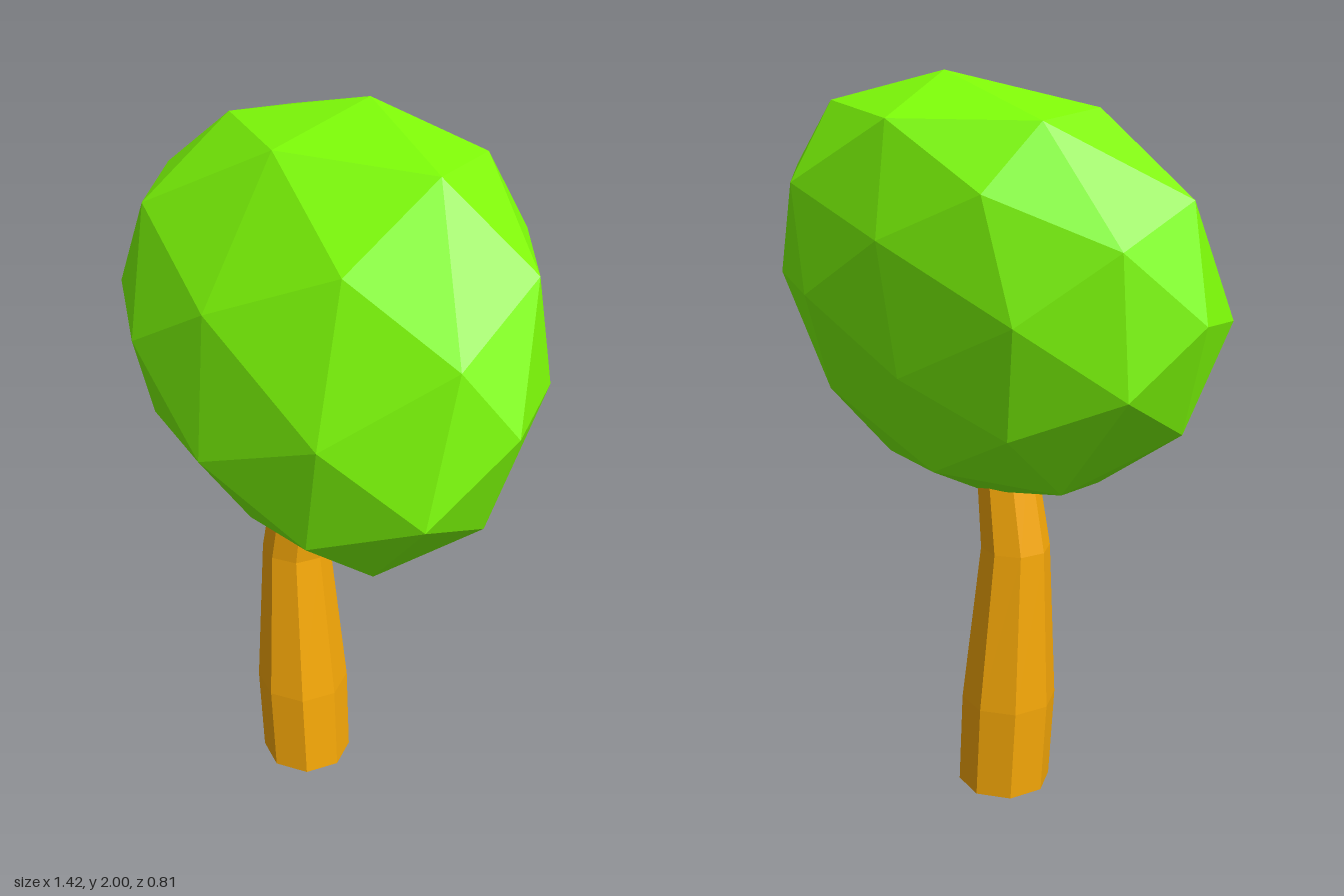
import * as THREE from 'three';

// Bent eight-sided trunk: the rows of a cylinder follow rings of [height, x centre, radius]
function createTrunk() {
  const rings = [[0, -0.058, 0.131], [0.27, -0.073, 0.133], [0.73, -0.094, 0.096], [1.02, -0.055, 0.08]];
  const last = rings.length - 1;
  const geometry = new THREE.CylinderGeometry(1, 1, 1, 8, last);
  const p = geometry.attributes.position;
  for (let i = 0; i < p.count; i++) {
    const [y, x, r] = rings[Math.round((p.getY(i) + 0.5) * last)];
    p.setXYZ(i, x + p.getX(i) * r, y, 0.008 + p.getZ(i) * r);
  }
  geometry.computeVertexNormals();
  const trunk = new THREE.Mesh(geometry, new THREE.MeshStandardMaterial({ color: 0xf9aa08, flatShading: true }));
  trunk.name = 'trunk';
  return trunk;
}

// Faceted crown: an icosphere with its poles along x, stretched, sheared and bowed backwards,
// with a full left shoulder, a front that sags and drifts sideways, and a fuller back left
function createCrown() {
  const geometry = new THREE.IcosahedronGeometry(1, 1);
  geometry.rotateY(Math.atan(2 / (1 + Math.sqrt(5))));
  const p = geometry.attributes.position;
  for (let i = 0; i < p.count; i++) {
    const x = p.getX(i), y = p.getY(i), z = p.getZ(i);
    const front = Math.max(z, 0), back = Math.min(z, 0);
    const shoulder = 0.2 * y ** 3 * (1 - y * y) * Math.max(0, 1.4 * x + 0.8 * z * (1 + y));
    const sag = 0.036 * (z + z * z) * (1 - y * y) * (1 - 0.6 * y);
    const drift = 0.045 * front * (1 - 1.5 * x) + 0.06 * Math.max(y, 0) * z * (1 - 2 * x);
    const bulge = 0.12 * Math.max(x, 0) * back * back;
    p.setXYZ(i,
      0.712 * x - drift,
      1.437 + 0.563 * y - 0.008 * x + shoulder - sag,
      0.4 * z + 0.095 * x - 0.08 * y - 0.09 * y * y - 0.08 * x * y - bulge);
  }
  geometry.computeVertexNormals();
  const crown = new THREE.Mesh(geometry, new THREE.MeshStandardMaterial({ color: 0x7fff08, flatShading: true }));
  crown.name = 'crown';
  return crown;
}

export function createModel() {
  const tree = new THREE.Group();
  tree.name = 'tree';
  tree.add(createTrunk(), createCrown());
  return tree;
}
